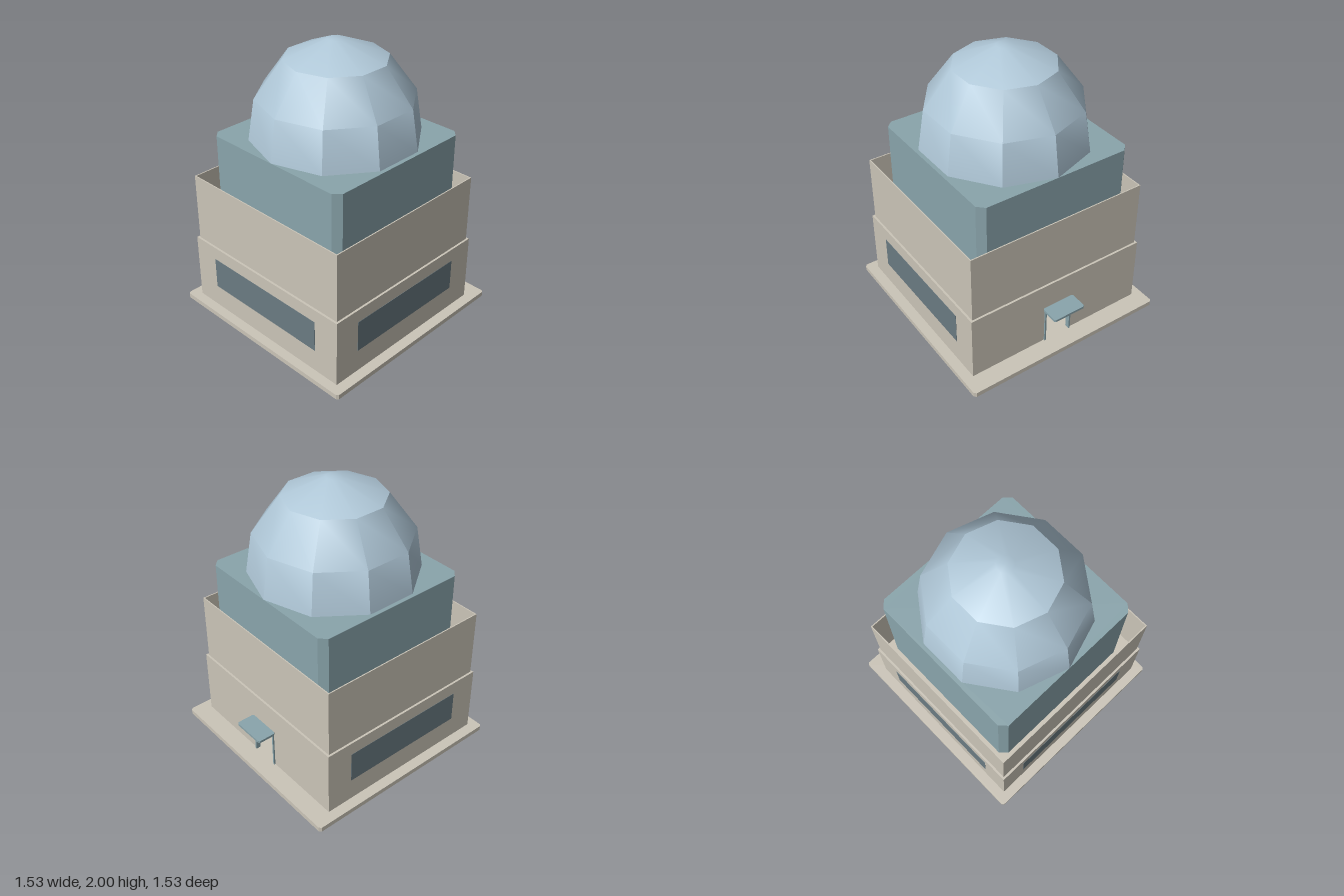
import * as THREE from 'three';
import { toCreasedNormals } from 'three/addons/utils/BufferGeometryUtils.js';

const wallMat = new THREE.MeshStandardMaterial({ color: 0xcbc5b8 });
wallMat.name = 'wallBeige';
const trimMat = new THREE.MeshStandardMaterial({ color: 0x8aa5ac });
trimMat.name = 'trimTeal';
const domeMat = new THREE.MeshStandardMaterial({ color: 0xb0c8d8 });
domeMat.name = 'domeBlue';
const glassMat = new THREE.MeshStandardMaterial({ color: 0x6b7b82 });
glassMat.name = 'windowSlate';

export function createModel() {
  const model = new THREE.Group();
  model.name = 'domedBuilding';

  const add = (name, geometry, material) => {
    const mesh = new THREE.Mesh(geometry, material);
    mesh.name = name;
    model.add(mesh);
    return mesh;
  };

  // Box given by its limits on each axis
  const box = (name, material, x0, x1, y0, y1, z0, z1) =>
    add(name, new THREE.BoxGeometry(x1 - x0, y1 - y0, z1 - z0), material)
      .position.set((x0 + x1) / 2, (y0 + y1) / 2, (z0 + z1) / 2);

  // Points of a rectangle with cut corners
  const cutRect = (w, d, c) => {
    const a = w / 2, b = d / 2;
    const pts = [[a, -b + c], [a, b - c], [a - c, b], [-a + c, b],
      [-a, b - c], [-a, -b + c], [-a + c, -b], [a - c, -b]];
    return pts.map(([x, y]) => new THREE.Vector2(x, y));
  };

  // Upright prism with cut corners
  const prism = (name, material, w, d, cut, y0, y1, x = 0) => {
    const geo = new THREE.ExtrudeGeometry(new THREE.Shape(cutRect(w, d, cut)),
      { depth: y1 - y0, bevelEnabled: false });
    geo.rotateX(-Math.PI / 2);
    add(name, geo, material).position.set(x, y0, 0);
  };

  // Hollow rectangular ring of walls
  const wallRing = (name, x0, x1, y0, y1, d, t) => {
    box(name + 'Left', wallMat, x1 - t, x1, y0, y1, -d, d);
    box(name + 'Right', wallMat, x0, x0 + t, y0, y1, -d, d);
    for (const [side, s] of [['Front', 1], ['Back', -1]]) {
      const z = s * (d - t / 2);
      box(name + side, wallMat, x0 + t, x1 - t, y0, y1, z - t / 2, z + t / 2);
    }
  };

  // Ground slab
  prism('baseSlab', wallMat, 1.53, 1.53, 0.015, 0, 0.035);

  // Lower storey: three plain walls, one wall with a doorway, and a ceiling
  const X0 = -0.696, X1 = 0.63, D = 0.69, T = 0.03, Y0 = 0.035, Y1 = 0.525;
  box('lowerWallRight', wallMat, X0, X0 + T, Y0, Y1, -D, D);
  box('lowerWallFront', wallMat, X0 + T, X1 - T, Y0, Y1, D - T, D);
  box('lowerWallBack', wallMat, X0 + T, X1 - T, Y0, Y1, -D, -D + T);
  const doorOutline = [[-D, Y0], [-0.11, Y0], [-0.11, 0.3], [0.11, 0.3],
    [0.11, Y0], [D, Y0], [D, Y1], [-D, Y1]].map(([x, y]) => new THREE.Vector2(x, y));
  const doorWall = new THREE.ExtrudeGeometry(new THREE.Shape(doorOutline),
    { depth: T, bevelEnabled: false });
  doorWall.rotateY(Math.PI / 2);
  add('lowerWallLeft', doorWall, wallMat).position.x = X1 - T;
  box('lowerRoof', wallMat, X0 + T, X1 - T, Y1 - 0.03, Y1, -D + T, D - T);

  // Upper storey: thin walls, open at the top around the drum
  wallRing('upperWall', -0.68, 0.615, Y1, 1.018, 0.675, 0.008);

  // Windows on three sides
  box('windowFront', glassMat, -0.505, 0.44, 0.2, 0.43, D - 0.004, D + 0.002);
  box('windowBack', glassMat, -0.505, 0.44, 0.2, 0.43, -D - 0.002, -D + 0.004);
  box('windowRight', glassMat, X0 - 0.002, X0 + 0.004, 0.2, 0.43, -0.495, 0.495);

  // Doorway: posts, lintel and canopy
  for (const s of [1, -1]) {
    const z = s * 0.104;
    box('doorPost', trimMat, 0.605, 0.64, Y0, 0.3, z - 0.006, z + 0.006);
  }
  box('doorLintel', wallMat, 0.605, 0.663, 0.298, 0.316, -0.11, 0.11);
  prism('doorCanopy', trimMat, 0.135, 0.25, 0.01, 0.316, 0.333, 0.6975);

  // Square drum with cut corners
  prism('drum', trimMat, 1.16, 1.16, 0.047, Y1, 1.333);

  // Ten-sided dome
  const profile = [[0.58, 1.333], [0.535, 1.62], [0.348, 1.876], [0.058, 2], [0, 2]]
    .map(([r, y]) => new THREE.Vector2(r, y));
  const dome = new THREE.LatheGeometry(profile, 10, Math.PI / 2);
  add('dome', toCreasedNormals(dome, Math.PI / 6), domeMat);

  return model;
}
